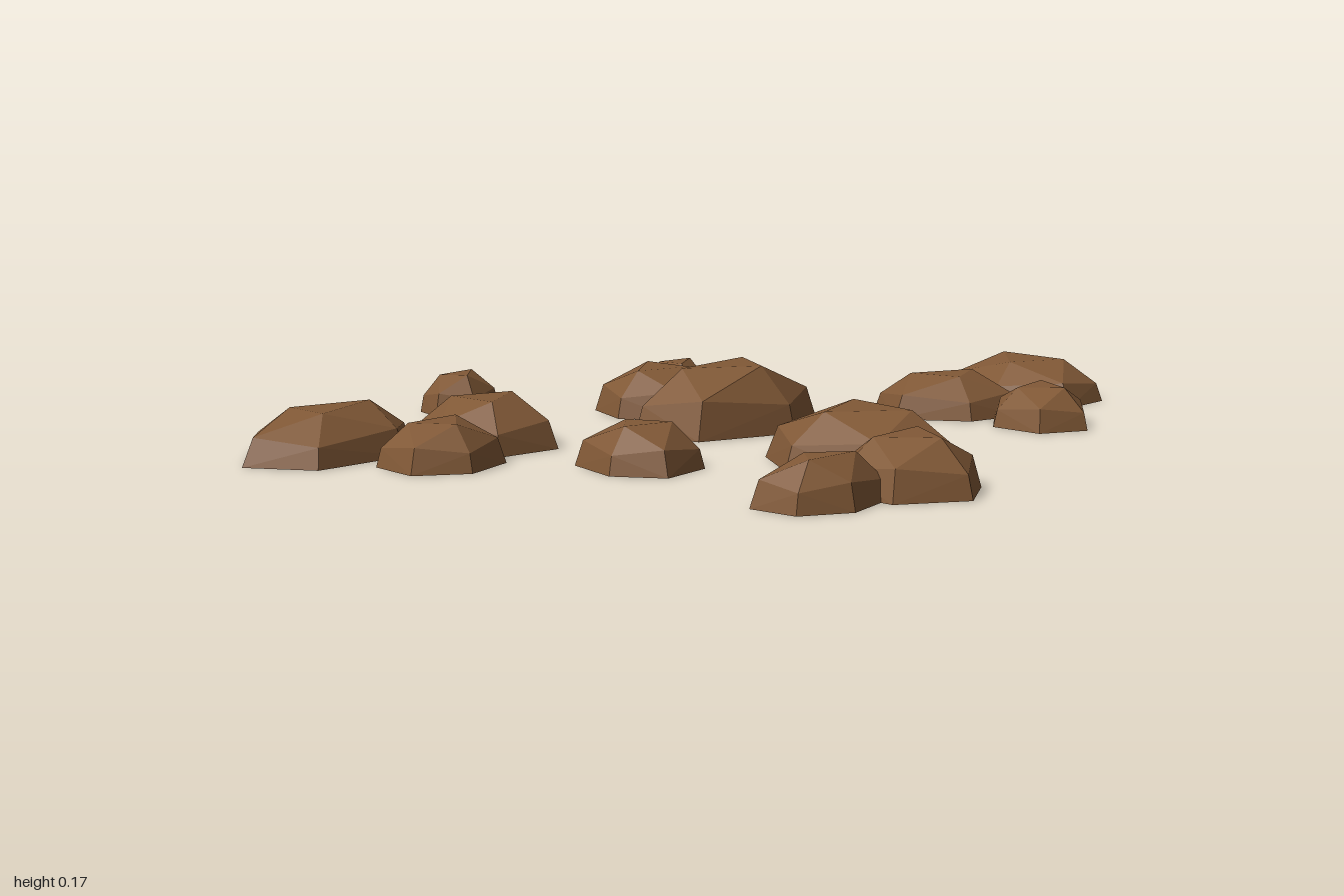
import * as THREE from 'three';
import { ConvexGeometry } from 'three/addons/geometries/ConvexGeometry.js';

// Each rock: centre x, z, height, then three spokes (x, z) to neighbouring ground corners
const ROCKS = [
  [0.64, -0.81, 0.115, -0.155, -0.19, 0.05, -0.18, 0.22, 0.01],
  [0.50, -0.44, 0.11, -0.095, -0.13, 0.10, -0.16, 0.195, -0.01],
  [0.77, -0.32, 0.105, -0.025, -0.15, 0.105, -0.08, 0.13, 0.06],
  [-0.27, -0.445, 0.11, -0.07, -0.105, 0.04, -0.11, 0.10, 0],
  [-0.235, -0.21, 0.125, -0.11, -0.135, 0.05, -0.16, 0.165, -0.04],
  [-0.74, -0.045, 0.105, -0.085, -0.08, 0.01, -0.12, 0.09, -0.055],
  [0.04, 0.01, 0.17, 0, -0.22, 0.185, -0.17, 0.18, 0.015],
  [-0.43, 0.425, 0.12, -0.11, -0.16, 0.06, -0.16, 0.19, 0.005],
  [0.49, 0.39, 0.135, -0.09, -0.18, 0.135, -0.145, 0.235, 0.02],
  [-0.715, 0.67, 0.115, -0.09, -0.20, 0.09, -0.225, 0.185, -0.035],
  [-0.40, 0.715, 0.105, 0, -0.145, 0.125, -0.075, 0.115, 0.075],
  [0.03, 0.59, 0.105, 0.02, -0.13, 0.145, -0.03, 0.11, 0.11],
  [0.665, 0.66, 0.125, -0.005, -0.16, 0.135, -0.09, 0.15, 0.065],
  [0.53, 0.86, 0.105, 0.01, -0.135, 0.12, -0.095, 0.09, 0.06],
];

// Faceted half-buried rock: six-sided flat base, inset shoulder and a three-cornered crown.
// The spokes are mirrored through the centre to give the other three corners.
function rockGeometry(height, spokes, crownStart) {
  const points = [];
  for (let i = 0; i < 6; i++) {
    const side = i < 3 ? 1 : -1;
    const k = (i % 3) * 2;
    const add = (scale, y) =>
      points.push(new THREE.Vector3(side * scale * spokes[k], y, side * scale * spokes[k + 1]));
    const crown = i % 2 === crownStart;
    add(1, 0);
    add(crown ? 0.92 : 0.87, height * (crown ? 0.42 : 0.56));
    if (crown) add(0.5, height * (1 - 0.03 * (i >> 1)));
  }
  return new ConvexGeometry(points);
}

export function createModel() {
  const group = new THREE.Group();
  group.name = 'scatteredRocks';
  const stone = new THREE.MeshStandardMaterial({ color: 0x805836, flatShading: true });
  stone.name = 'brownStone';

  ROCKS.forEach(([x, z, height, ...spokes], i) => {
    const rock = new THREE.Mesh(rockGeometry(height, spokes, i % 2), stone);
    rock.name = `rock${i + 1}`;
    rock.position.set(x, 0, z);
    group.add(rock);
  });
  return group;
}
